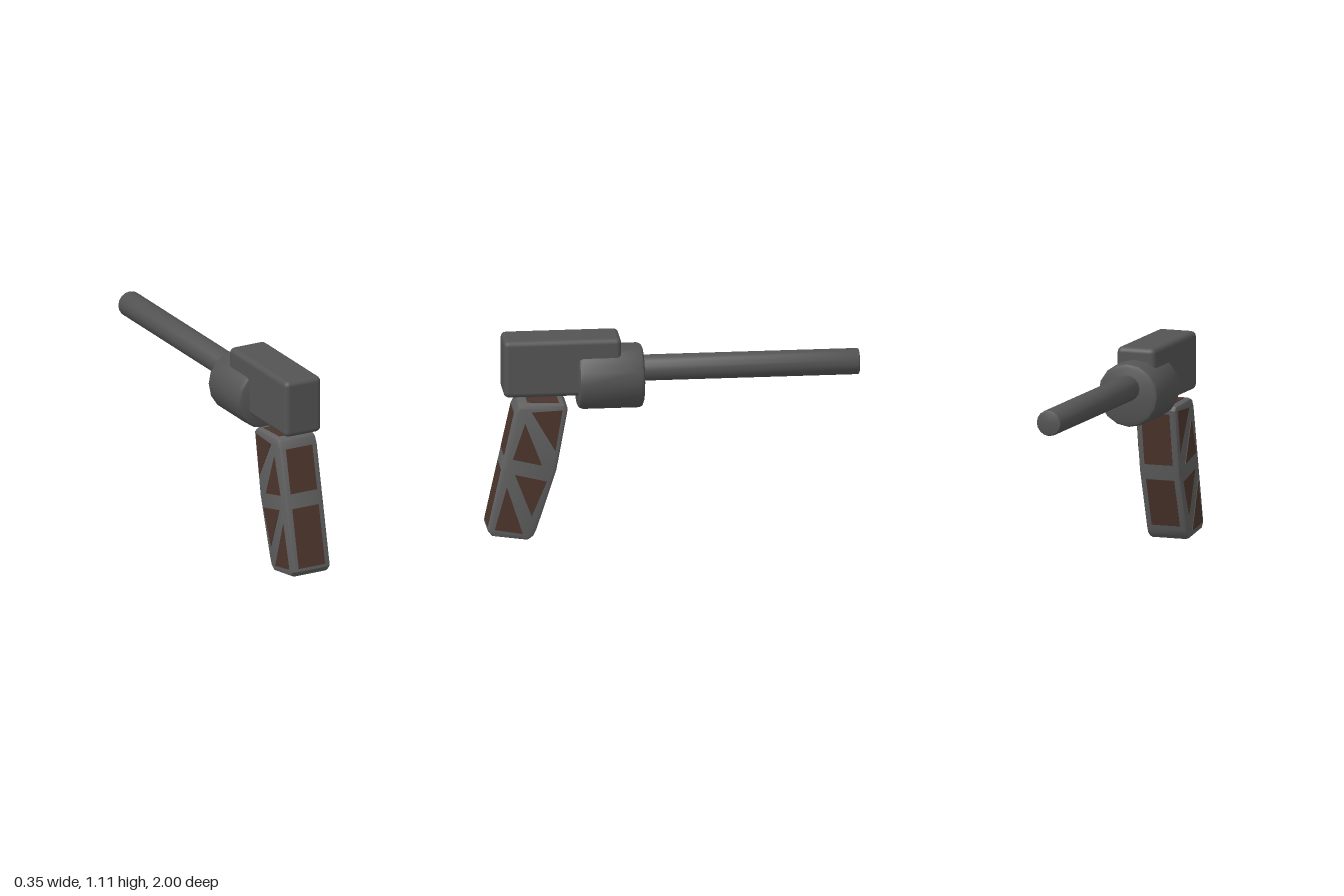
import * as THREE from 'three';
import { toCreasedNormals } from 'three/addons/utils/BufferGeometryUtils.js';
import { RoundedBoxGeometry } from 'three/addons/geometries/RoundedBoxGeometry.js';

const paint = (name, color) => {
  const m = new THREE.MeshStandardMaterial({ color });
  m.name = name;
  return m;
};

export function createModel() {
  const model = new THREE.Group();
  model.name = 'handgun';
  const metal = paint('dark metal', 0x545454);
  const frame = paint('grip frame grey', 0x606060);
  const wood = paint('brown grip panel', 0x4b352c);

  const add = (name, geometry, material, parent = model) => {
    const mesh = new THREE.Mesh(geometry, material);
    mesh.name = name;
    parent.add(mesh);
    return mesh;
  };

  // Round part along z with bevelled rims
  const rod = (radius, z0, z1, bevel, sides) => {
    const c = bevel * 0.3;
    const profile = [
      [0, z0], [radius - bevel, z0], [radius - c, z0 + c], [radius, z0 + bevel],
      [radius, z1 - bevel], [radius - c, z1 - c], [radius - bevel, z1], [0, z1],
    ].map(([r, z]) => new THREE.Vector2(r, z));
    const g = new THREE.LatheGeometry(profile, sides, Math.PI / 2).rotateX(Math.PI / 2);
    return toCreasedNormals(g, 0.6);
  };

  // Side profile given as (z, y), extruded across x and centred on x = 0
  const slab = (points, width, bevel = 0) => {
    const shape = new THREE.Shape(points.map(([z, y]) => new THREE.Vector2(z, y)));
    const depth = width - 2 * bevel;
    const g = new THREE.ExtrudeGeometry(shape, {
      depth, bevelEnabled: bevel > 0, bevelSize: bevel, bevelThickness: bevel,
      bevelOffset: -bevel, bevelSegments: 2,
    });
    return g.translate(0, 0, -depth / 2).rotateY(-Math.PI / 2);
  };

  // Receiver, drum and barrel
  add('receiver', new RoundedBoxGeometry(0.22, 0.315, 0.63, 2, 0.028), metal).position.set(0, 0.955, 0.597);
  add('drum', rod(0.174, 0.16, 0.513, 0.026, 16), metal).position.y = 0.876;
  add('barrel', rod(0.07, -1, 0.2, 0.01, 16), metal).position.y = 0.915;

  // Grip body, bent forward at mid height
  const grip = new THREE.Group();
  grip.name = 'grip';
  model.add(grip);
  const outline = [
    [0.785, 0.003], [0.975, 0.03], [1.0, 0.062], [0.856, 0.715], [0.835, 0.754], [0.81, 0.765],
    [0.59, 0.754], [0.57, 0.73], [0.632, 0.385], [0.738, 0.06], [0.755, 0.025],
  ];
  add('gripFrame', toCreasedNormals(slab(outline, 0.236, 0.022), 0.6), frame, grip);

  // Triangular panels on both sides of the grip
  const triangles = [
    [[0.638, 0.5], [0.765, 0.72], [0.6, 0.727]],
    [[0.71, 0.422], [0.866, 0.46], [0.8, 0.658]],
    [[0.765, 0.14], [0.855, 0.374], [0.684, 0.332]],
    [[0.813, 0.043], [0.963, 0.07], [0.898, 0.305]],
  ];
  for (const side of [1, -1]) {
    for (const t of triangles) {
      add(side > 0 ? 'leftPanel' : 'rightPanel', slab(t, 0.006), wood, grip).position.x = side * 0.118;
    }
  }

  // Rectangular panels along the edges of the grip, between two (z, y) points
  const edgePanel = (name, a, b) => {
    const dz = b[0] - a[0], dy = b[1] - a[1];
    const mesh = add(name, new THREE.BoxGeometry(0.16, 0.006, Math.hypot(dz, dy)), wood, grip);
    mesh.position.set(0, (a[1] + b[1]) / 2, (a[0] + b[0]) / 2);
    mesh.rotation.x = Math.atan2(-dy, dz);
  };
  const between = (p, q, y) => [p[0] + (q[0] - p[0]) * (y - p[1]) / (q[1] - p[1]), y];
  const strip = (name, p, q, y0, y1) => edgePanel(name, between(p, q, y0), between(p, q, y1));
  strip('rearPanelLower', outline[2], outline[3], 0.078, 0.395);
  strip('rearPanelUpper', outline[2], outline[3], 0.475, 0.712);
  strip('frontPanelLower', outline[8], outline[9], 0.08, 0.34);
  strip('frontPanelUpper', outline[7], outline[8], 0.425, 0.71);
  edgePanel('bottomPanel', [0.805, 0.006], [0.955, 0.0272]);
  edgePanel('topPanel', [0.785, 0.7637], [0.615, 0.7553]);

  return model;
}
